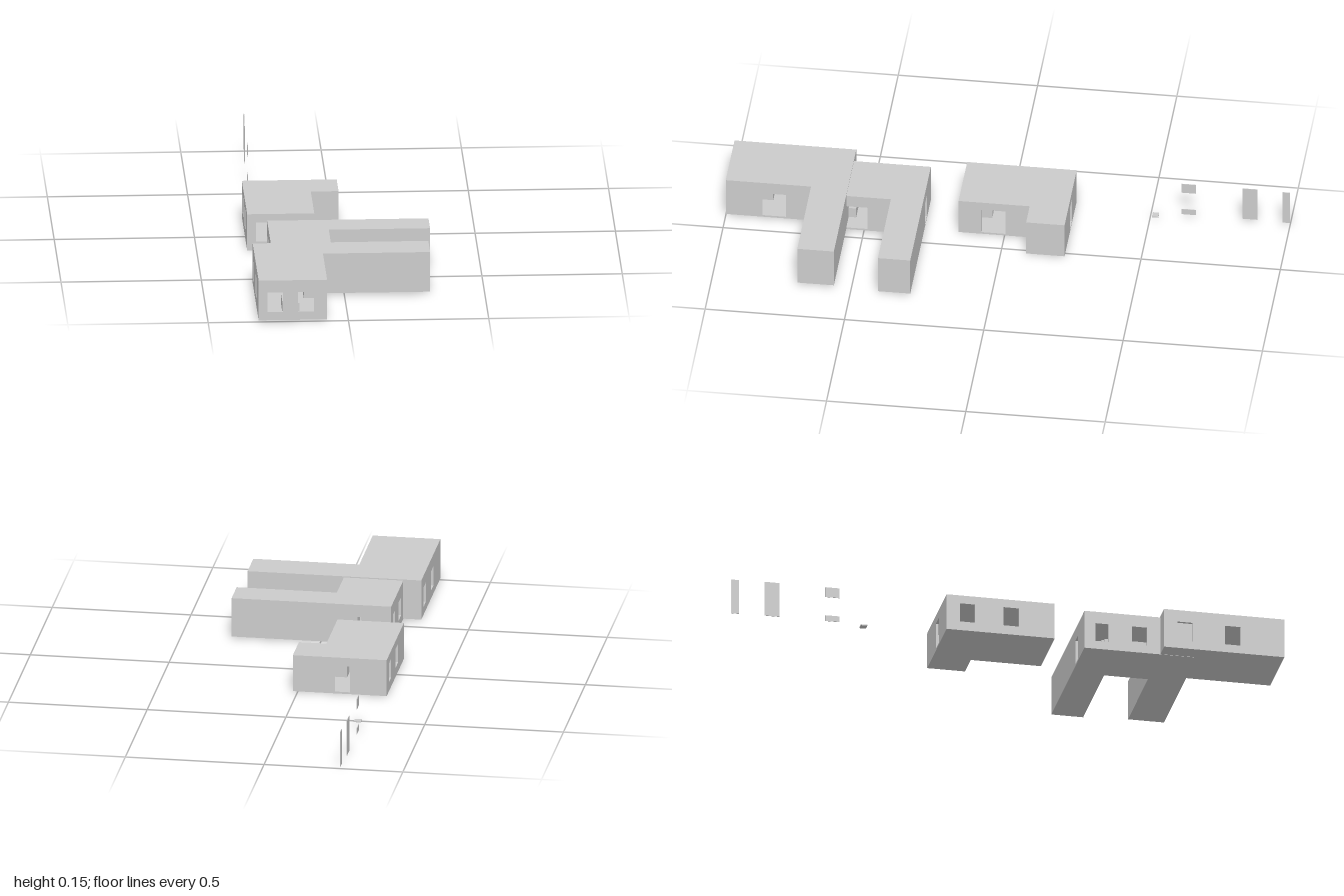
import * as THREE from 'three';

const material = new THREE.MeshStandardMaterial({ color: 0xcccccc, flatShading: true });
const WALL = 0.01, SLAB = 0.006;

function add(parent, name, geometry) {
  const mesh = new THREE.Mesh(geometry, material);
  mesh.name = name;
  parent.add(mesh);
  return mesh;
}

// Box given by its lower and upper limits on each axis
function box(parent, name, [x0, x1], [y0, y1], [z0, z1]) {
  const mesh = add(parent, name, new THREE.BoxGeometry(x1 - x0, y1 - y0, z1 - z0));
  mesh.position.set((x0 + x1) / 2, (y0 + y1) / 2, (z0 + z1) / 2);
}

function rectangle(path, u0, u1, v0, v1) {
  path.moveTo(u0, v0).lineTo(u1, v0).lineTo(u1, v1).lineTo(u0, v1).closePath();
  return path;
}

// Upright wall from a to b with its outer face on that line; openings are [u0, u1, y0, y1]
function wall(parent, name, a, b, y0, y1, openings = []) {
  const dx = b[0] - a[0], dz = b[1] - a[1];
  const shape = rectangle(new THREE.Shape(), 0, Math.hypot(dx, dz), y0, y1);
  for (const o of openings) shape.holes.push(rectangle(new THREE.Path(), ...o));
  const geometry = new THREE.ExtrudeGeometry(shape, { depth: WALL, bevelEnabled: false });
  geometry.translate(0, 0, -WALL);
  const mesh = add(parent, name, geometry);
  mesh.position.set(a[0], 0, a[1]);
  mesh.rotation.y = Math.atan2(-dz, dx);
}

// Horizontal slab over the footprint, starting at height y
function slab(parent, name, corners, y) {
  const shape = new THREE.Shape(corners.map(([x, z]) => new THREE.Vector2(x, -z)));
  const geometry = new THREE.ExtrudeGeometry(shape, { depth: SLAB, bevelEnabled: false });
  geometry.rotateX(-Math.PI / 2);
  add(parent, name, geometry).position.y = y;
}

// L-shaped hollow room: body along z, wing along x at the back
function room(p) {
  const group = new THREE.Group();
  group.name = p.name;
  const [x0, xb, x1] = p.x, [z0, zw, z1] = p.z, [y0, y1] = p.y;
  const corners = [[x0, z1], [xb, z1], [xb, zw], [x1, zw], [x1, z0], [x0, z0]];
  const low = y0 + SLAB, high = y1 - SLAB;
  const door = [low + 0.001, p.head];
  const pane = [p.sill, p.head];
  const openings = {
    0: p.frontWindows.map(([a, b]) => [a - x0, b - x0, ...pane]),
    1: [[z1 - p.sideDoor[1], z1 - p.sideDoor[0], ...door]],
    4: [[x1 - p.backDoor[1], x1 - p.backDoor[0], ...door]],
    5: p.sideWindows.map(([a, b]) => [a - z0, b - z0, ...pane]),
  };
  const names = ['frontWall', 'doorWall', 'wingFrontWall', 'wingEndWall', 'backWall', 'windowWall'];
  names.forEach((name, i) =>
    wall(group, name, corners[i], corners[(i + 1) % 6], low, high, openings[i]));
  slab(group, 'floor', corners, y0);
  slab(group, 'roof', corners, high);

  // Furniture seen through the openings
  const bedStart = p.sideDoor[1] - 0.027;
  box(group, 'bed', [x0 + 0.088, x0 + 0.148], [low, y0 + 0.045], [bedStart, Math.min(bedStart + 0.1, z1 - 0.02)]);
  box(group, 'cabinet', [xb - 0.072, xb - 0.02], [low, y0 + 0.068], [p.sideDoor[0] - 0.07, p.sideDoor[0] - 0.015]);
  return group;
}

export function createModel() {
  const model = new THREE.Group();
  model.name = 'roomModules';

  model.add(
    room({
      name: 'frontRoom',
      x: [-0.32, -0.076, 0.306], y: [0.006, 0.154], z: [0.563, 0.694, 1],
      sill: 0.036, head: 0.109,
      frontWindows: [[-0.289, -0.233], [-0.18, -0.123]],
      sideWindows: [[0.612, 0.667], [0.784, 0.841]],
      sideDoor: [0.783, 0.869], backDoor: [-0.19, -0.135],
    }),
    room({
      name: 'middleRoom',
      x: [-0.255, -0.041, 0.32], y: [0.005, 0.15], z: [0.287, 0.403, 0.686],
      sill: 0.036, head: 0.105,
      frontWindows: [[-0.226, -0.174], [-0.127, -0.075]],
      sideWindows: [[0.327, 0.375], [0.46, 0.515]],
      sideDoor: [0.487, 0.563], backDoor: [-0.145, -0.095],
    }),
    room({
      name: 'rearRoom',
      x: [-0.32, -0.081, 0.018], y: [0, 0.136], z: [-0.228, -0.09, 0.165],
      sill: 0.034, head: 0.105,
      frontWindows: [[-0.289, -0.233], [-0.18, -0.123]],
      sideWindows: [[-0.18, -0.125], [-0.022, 0.035]],
      sideDoor: [-0.003, 0.083], backDoor: [-0.188, -0.133],
    }),
  );

  // Loose wall pieces standing behind the rooms
  const panels = [
    ['lowerPanel', -0.28, [0.008, 0.03], [-0.661, -0.609]],
    ['upperPanel', -0.28, [0.102, 0.14], [-0.661, -0.609]],
    ['widePanel', -0.28, [0.008, 0.14], [-0.882, -0.828]],
    ['narrowPanel', -0.275, [0.008, 0.14], [-1, -0.973]],
  ];
  for (const [name, x, y, z] of panels) box(model, name, [x - 0.001, x + 0.001], y, z);
  box(model, 'floorTile', [-0.275, -0.249], [0.006, 0.01], [-0.53, -0.507]);

  return model;
}
